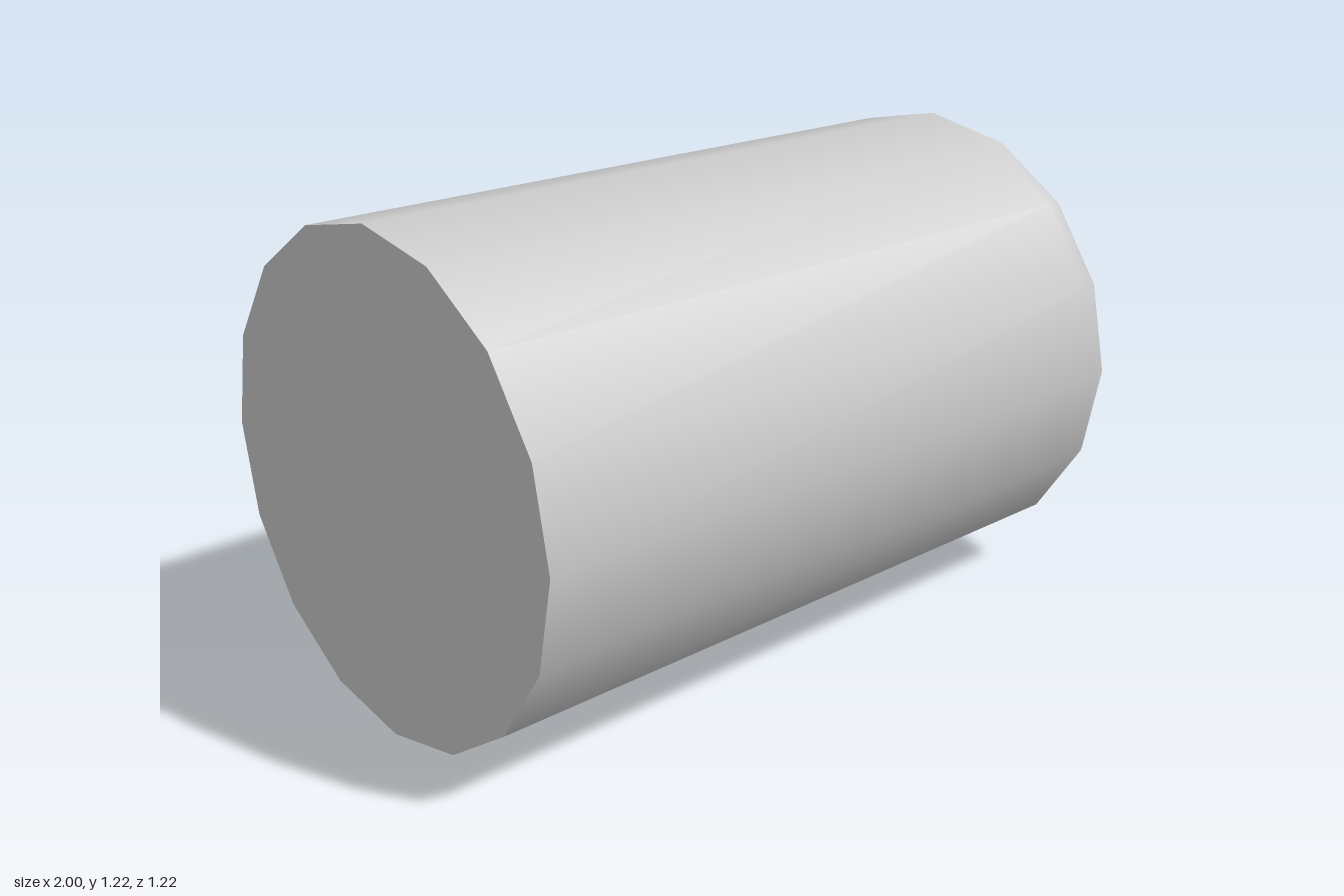
import * as THREE from 'three';

const SIDES = 16;
const RADIUS = 0.61;

export function createModel() {
  const model = new THREE.Group();
  model.name = 'batteryCell';
  const material = new THREE.MeshStandardMaterial({ color: 0xcccccc });

  // Profiles are [radius, position along the axis], listed from the base to the tip
  const addLathe = (name, profile) => {
    const points = profile.map(([r, a]) => new THREE.Vector2(r, a));
    const geometry = new THREE.LatheGeometry(points, SIDES);
    geometry.rotateZ(-Math.PI / 2); // lay the axis along +x
    geometry.translate(0, RADIUS, 0);
    const mesh = new THREE.Mesh(geometry, material);
    mesh.name = name;
    model.add(mesh);
  };

  // Flat base closing the negative end
  addLathe('baseCap', [[0, -1], [RADIUS, -1]]);

  // Casing with a rounded shoulder
  addLathe('casing', [
    [RADIUS, -1], [RADIUS, 0.82], [RADIUS, 0.845], [0.602, 0.862], [0.585, 0.87],
    [0.5, 0.882], [0.405, 0.905],
  ]);

  // Slightly dished plate around the terminal
  addLathe('endPlate', [[0.405, 0.905], [0.18, 0.895]]);

  // Positive terminal with a small bevel
  addLathe('terminalButton', [[0.195, 0.89], [0.195, 0.985], [0.19, 0.995], [0.18, 1]]);
  addLathe('terminalFace', [[0.18, 1], [0, 1]]);

  return model;
}
